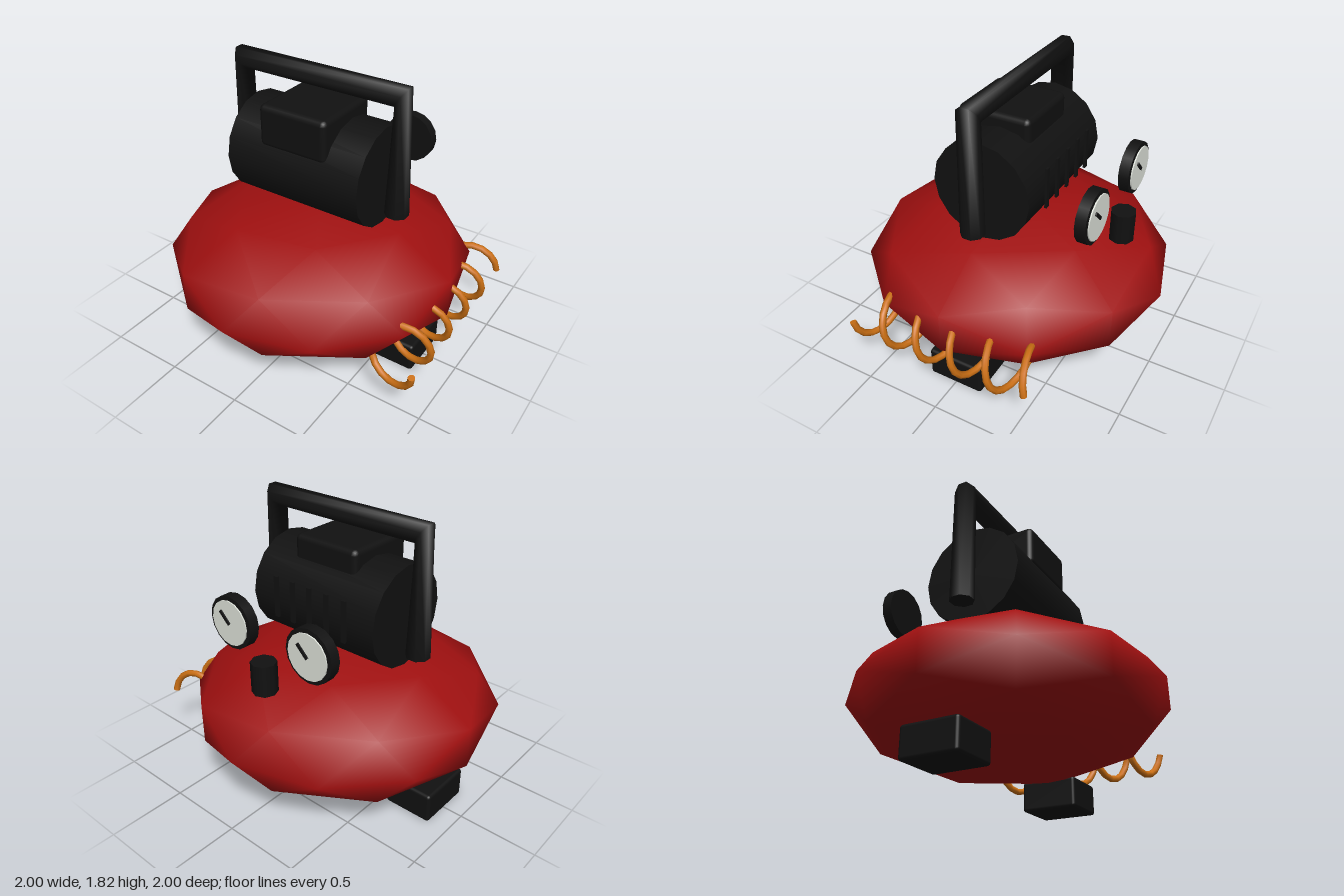
import * as THREE from 'three';
import { RoundedBoxGeometry } from 'three/addons/geometries/RoundedBoxGeometry.js';

const material = (name, color) => {
  const m = new THREE.MeshStandardMaterial({ color });
  m.name = name;
  return m;
};

// Helix running from front to back, both ends on the outer side
class CoilCurve extends THREE.Curve {
  getPoint(t, target = new THREE.Vector3()) {
    const a = t * 5 * Math.PI * 2;
    return target.set(0.81 + 0.165 * Math.cos(a), 0.405 - 0.165 * Math.sin(a), 0.6 - 1.2 * t);
  }
}

// Octagonal bar swept through four mitred rings: [x, y, half-width x, half-width y]
function handleGeometry() {
  const rings = [
    [-0.61, 1.0, -0.07, 0], [-0.61, 1.76, -0.04, 0.06],
    [0.51, 1.76, 0.04, 0.06], [0.51, 1.0, 0.07, 0],
  ];
  const sides = 8, pos = [], index = [];
  const k = 1 / Math.cos(Math.PI / sides);
  const addRing = ([x, y, wx, wy]) => {
    for (let i = 0; i < sides; i++) {
      const a = (i + 0.5) * Math.PI * 2 / sides;
      const u = Math.cos(a) * k, v = Math.sin(a) * k;
      pos.push(x + wx * u, y + wy * u, 0.07 * v);
    }
  };
  rings.forEach(addRing);
  for (let r = 0; r < rings.length - 1; r++) {
    for (let i = 0; i < sides; i++) {
      const a = r * sides + i, b = r * sides + (i + 1) % sides;
      index.push(a, b, a + sides, b, b + sides, a + sides);
    }
  }
  // End caps with their own corners
  addRing(rings[0]);
  addRing(rings[3]);
  const c0 = rings.length * sides, c1 = c0 + sides;
  for (let i = 1; i < sides - 1; i++) {
    index.push(c0, c0 + i + 1, c0 + i, c1, c1 + i, c1 + i + 1);
  }
  const g = new THREE.BufferGeometry();
  g.setAttribute('position', new THREE.Float32BufferAttribute(pos, 3));
  g.setIndex(index);
  g.computeVertexNormals();
  return g;
}

export function createModel() {
  const model = new THREE.Group();
  model.name = 'airCompressor';
  const red = material('tank red', 0xa01010);
  const black = material('black', 0x111111);
  const orange = material('hose orange', 0xcc7014);
  const white = material('dial white', 0xe0e4dc);
  black.side = THREE.DoubleSide;

  const add = (name, geometry, mat, x = 0, y = 0, z = 0, parent = model) => {
    const mesh = new THREE.Mesh(geometry, mat);
    mesh.name = name;
    mesh.position.set(x, y, z);
    parent.add(mesh);
    return mesh;
  };
  const cx = -0.05;

  // Tank: flattened icosphere with a pole facing front
  const tank = new THREE.IcosahedronGeometry(1, 1);
  tank.rotateY(-Math.atan((1 + Math.sqrt(5)) / 2));
  tank.scale(1, 0.425, 1);
  add('tank', tank, red, cx, 0.525, 0);

  // Feet
  for (const [name, s] of [['leftFoot', 1], ['rightFoot', -1]]) {
    add(name, new RoundedBoxGeometry(0.32, 0.195, 0.37, 2, 0.02), black, cx + s * 0.665, 0.0975, 0);
  }

  // Motor with its top box and rear vent fins
  const motor = new THREE.CylinderGeometry(0.32, 0.32, 0.93, 16);
  motor.rotateZ(Math.PI / 2);
  add('motor', motor, black, cx, 1.23, 0);
  add('motorBox', new RoundedBoxGeometry(0.47, 0.27, 0.48, 2, 0.035), black, cx, 1.49, 0.05);
  for (let i = -2; i <= 2; i++) {
    add('ventFin', new THREE.BoxGeometry(0.03, 0.265, 0.015), black, cx + i * 0.132, 1.252, -0.327);
  }

  // Carrying handle
  add('handle', handleGeometry(), black);

  // Gauges facing the back
  for (const [name, s] of [['leftGauge', 1], ['rightGauge', -1]]) {
    const gauge = new THREE.Group();
    gauge.name = name;
    gauge.position.set(cx + s * 0.307, 1.19, 0);
    model.add(gauge);
    const disc = (r, depth) => new THREE.CylinderGeometry(r, r, depth, 16).rotateX(Math.PI / 2);
    add('gaugeCase', disc(0.167, 0.067), black, 0, 0, -0.634, gauge);
    add('gaugeDial', disc(0.142, 0.008), white, 0, 0, -0.675, gauge);
    const needle = add('gaugeNeedle', new THREE.BoxGeometry(0.1, 0.02, 0.009), black, 0.03, 0.03, -0.684, gauge);
    needle.rotation.z = Math.PI / 4;
  }

  // Regulator knob
  add('regulator', new THREE.CylinderGeometry(0.078, 0.078, 0.195, 8), black, cx, 0.968, -0.708);

  // Coiled hose, with closed ends
  const coil = new CoilCurve();
  add('hose', new THREE.TubeGeometry(coil, 80, 0.022, 8), orange);
  for (const [t, s] of [[0, -1], [1, 1]]) {
    const end = add('hoseEnd', new THREE.CircleGeometry(0.022, 8), orange);
    const p = coil.getPoint(t);
    end.position.copy(p);
    end.lookAt(p.clone().addScaledVector(coil.getTangent(t), s));
  }
  return model;
}
